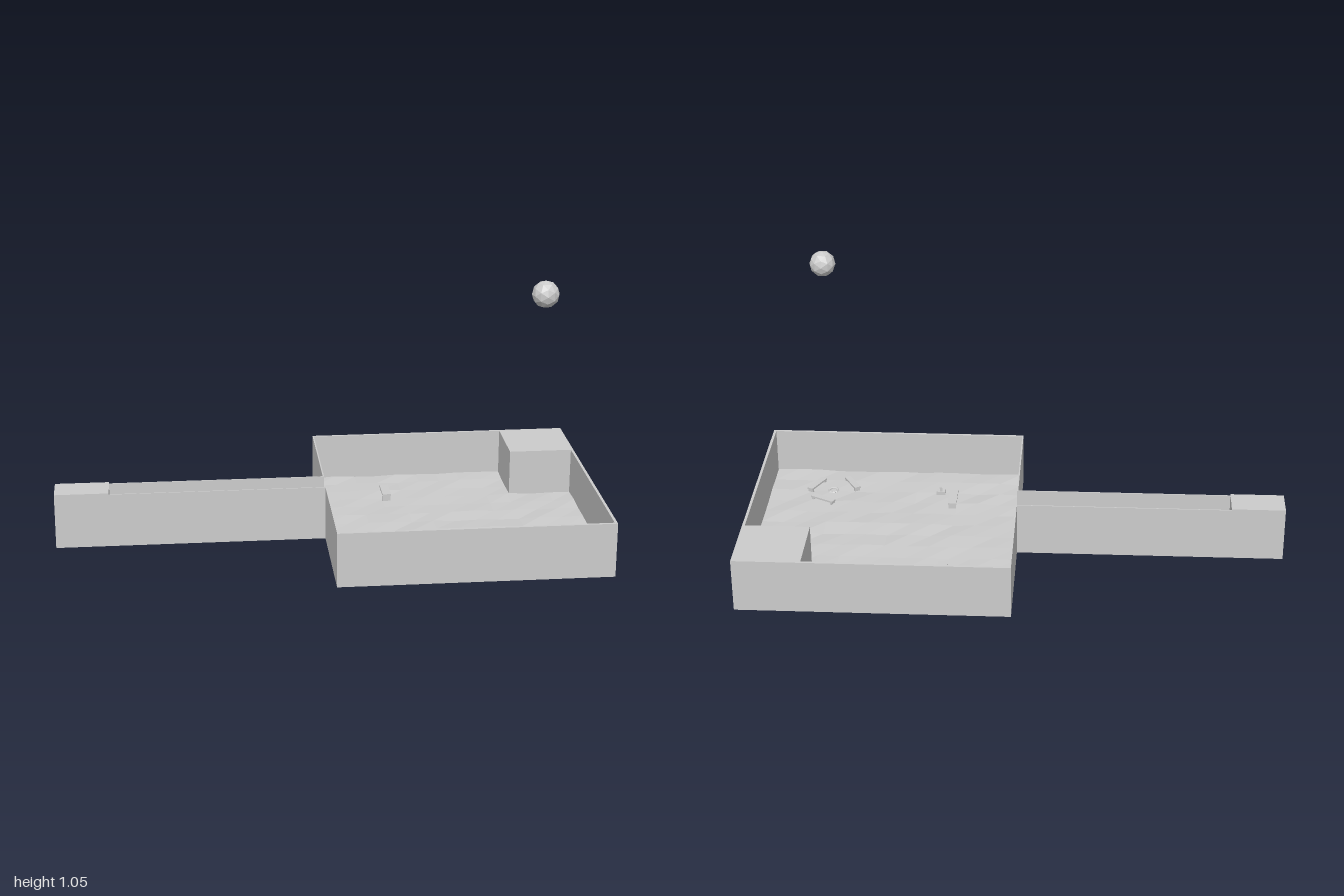
import * as THREE from 'three';

const FLOOR = 0.03;   // mean ground level
const RIM = 0.205;    // wall height

export function createModel() {
  const model = new THREE.Group();
  const mat = new THREE.MeshStandardMaterial({ color: 0xcccccc, flatShading: true });

  const add = (name, geo, x, y, z, parent = model) => {
    const mesh = new THREE.Mesh(geo, mat);
    mesh.name = name;
    mesh.position.set(x, y, z);
    parent.add(mesh);
    return mesh;
  };
  // Box given by its minimum and maximum corners
  const span = (name, x0, x1, y0, y1, z0, z1) =>
    add(name, new THREE.BoxGeometry(x1 - x0, y1 - y0, z1 - z0),
      (x0 + x1) / 2, (y0 + y1) / 2, (z0 + z1) / 2);

  // Room: base slab, four walls (one with a doorway) and the solid corner block
  span('roomBase', 0, 1, 0, 0.02, -0.5, 0.5);
  span('frontWall', 0, 1, 0, RIM, 0.49, 0.5);
  span('backWall', 0, 1, 0, RIM, -0.5, -0.49);
  span('outerWall', 0.99, 1, 0, RIM, -0.49, 0.49);
  for (const s of [-1, 1]) {
    const z = [0.052 * s, 0.49 * s].sort((a, b) => a - b);
    span('doorwayWall', 0, 0.005, 0, RIM, z[0], z[1]);
  }
  span('cornerBlock', 0.75, 0.99, 0, RIM, -0.49, -0.25);

  // Uneven ground
  const ground = new THREE.PlaneGeometry(0.985, 0.98, 12, 12).rotateX(-Math.PI / 2);
  const p = ground.attributes.position;
  let seed = 7;
  const random = () => (seed = (seed * 16807) % 2147483647) / 2147483647;
  for (let i = 0; i < p.count; i++) p.setY(i, (random() - 0.5) * 0.008);
  ground.computeVertexNormals();
  add('ground', ground, 0.4975, FLOOR, 0);

  // Corridor: floor, two thin side walls and the raised end block
  span('corridorFloor', -0.8, 0.005, 0, FLOOR, -0.053, 0.053);
  span('corridorWall', -0.8, 0, 0, RIM, 0.053, 0.057);
  span('corridorWall', -0.8, 0, 0, RIM, -0.057, -0.053);
  span('corridorEnd', -1, -0.8, 0, 0.21, -0.057, 0.057);

  // Benches: a plank on two end legs
  const bench = (name, x, z, turn, length, width, height) => {
    const g = new THREE.Group();
    g.name = name;
    g.position.set(x, FLOOR, z);
    g.rotation.y = turn;
    add('plank', new THREE.BoxGeometry(length, 0.007, width), 0, height - 0.0035, 0, g);
    for (const s of [-1, 1])
      add('leg', new THREE.BoxGeometry(0.008, height, width * 0.9),
        s * (length / 2 - 0.008), height / 2 - 0.003, 0, g);
    model.add(g);
  };
  bench('backTable', 0.265, -0.275, Math.PI / 2, 0.105, 0.033, 0.026);
  bench('frontTable', 0.265, 0.257, Math.PI / 2, 0.105, 0.033, 0.026);
  bench('fireBench', 0.775, 0.245, -0.47, 0.1, 0.025, 0.016);
  bench('fireBench', 0.815, 0.36, 1.1, 0.1, 0.025, 0.016);
  bench('fireBench', 0.675, 0.375, -1.03, 0.1, 0.025, 0.016);

  // Ring of fire stones between the benches
  add('firePit', new THREE.TorusGeometry(0.018, 0.005, 5, 8).rotateX(Math.PI / 2),
    0.745, FLOOR + 0.003, 0.325);

  // Small chair beside the front table
  span('chairSeat', 0.3, 0.335, FLOOR - 0.003, FLOOR + 0.016, 0.31, 0.33);
  span('chairBack', 0.312, 0.322, FLOOR, FLOOR + 0.034, 0.311, 0.329);

  // Knob on the wall by the doorway
  add('doorKnob', new THREE.CylinderGeometry(0.009, 0.009, 0.016, 8).rotateZ(Math.PI / 2),
    0.01, 0.065, 0.08);

  // Ball floating above the fire pit
  add('floatingBall', new THREE.IcosahedronGeometry(0.049, 1), 0.745, 1.006, 0.325);

  return model;
}
